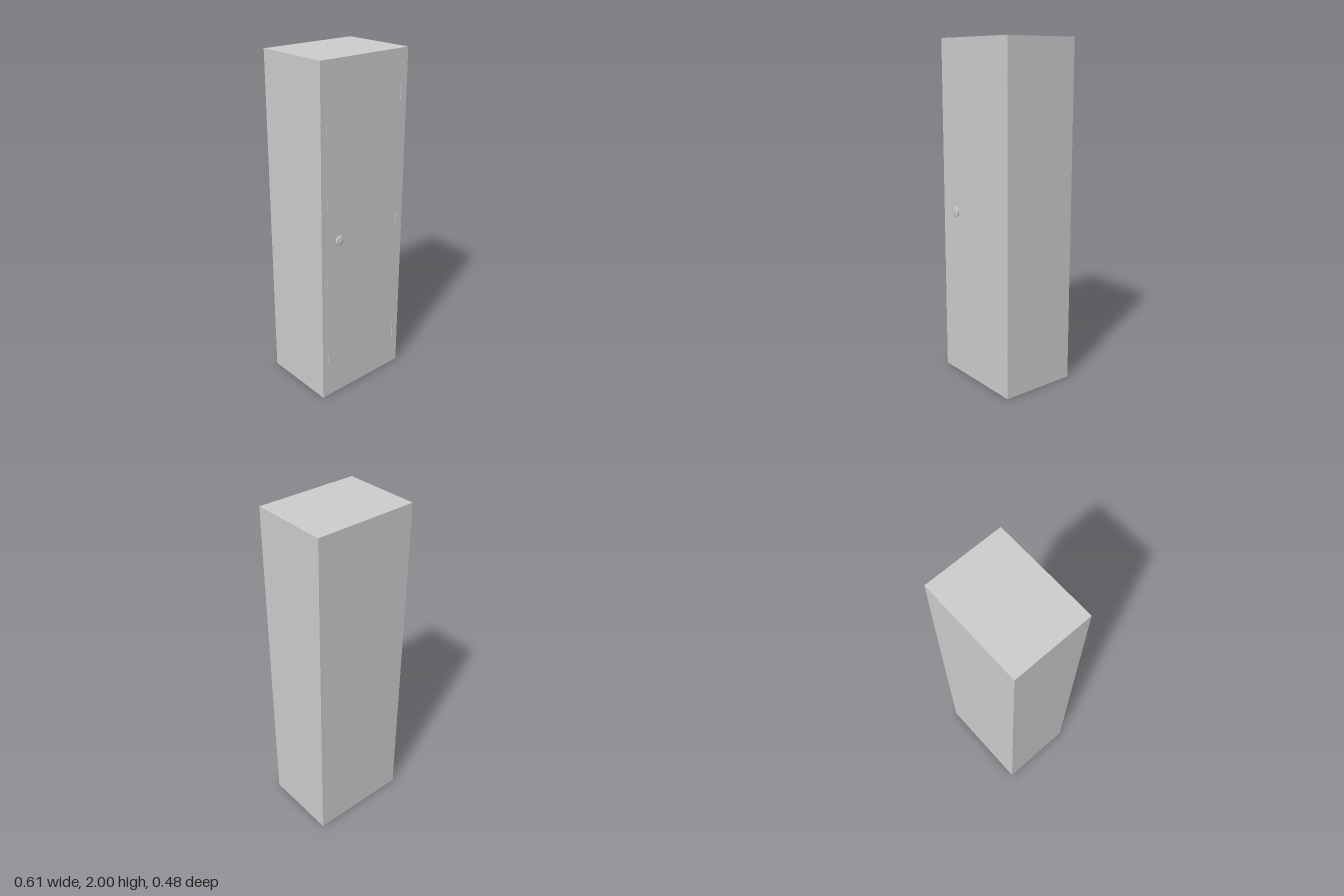
import * as THREE from 'three';

export function createModel() {
  const group = new THREE.Group();
  const mat = new THREE.MeshStandardMaterial({ color: 0xcccccc });
  const add = (name, geometry, x, y, z) => {
    const mesh = new THREE.Mesh(geometry, mat);
    mesh.name = name;
    mesh.position.set(x, y, z);
    group.add(mesh);
    return mesh;
  };

  const front = 0.225, back = -0.238;

  // Closed locker body
  add('cabinetBody', new THREE.BoxGeometry(0.614, 2, front - back), 0, 1, (front + back) / 2);

  // Almost flush door panel
  add('door', new THREE.BoxGeometry(0.525, 1.92, 0.02), -0.004, 1, front - 0.0095);

  // Hinge pins along the left edge of the door
  for (const y of [0.237, 1.002, 1.767]) {
    add('hinge', new THREE.CylinderGeometry(0.005, 0.005, 0.085, 16), 0.262, y, front - 0.002);
  }

  // Round knob: short drum with a small centre button
  const profile = [
    [0.029, -0.002], [0.029, 0.0085], [0.028, 0.0095], [0.01, 0.0105], [0.01, 0.013], [0, 0.013],
  ].map(([r, h]) => new THREE.Vector2(r, h));
  const knob = add('knob', new THREE.LatheGeometry(profile, 32), -0.179, 1.004, front);
  knob.rotation.x = Math.PI / 2;

  return group;
}
